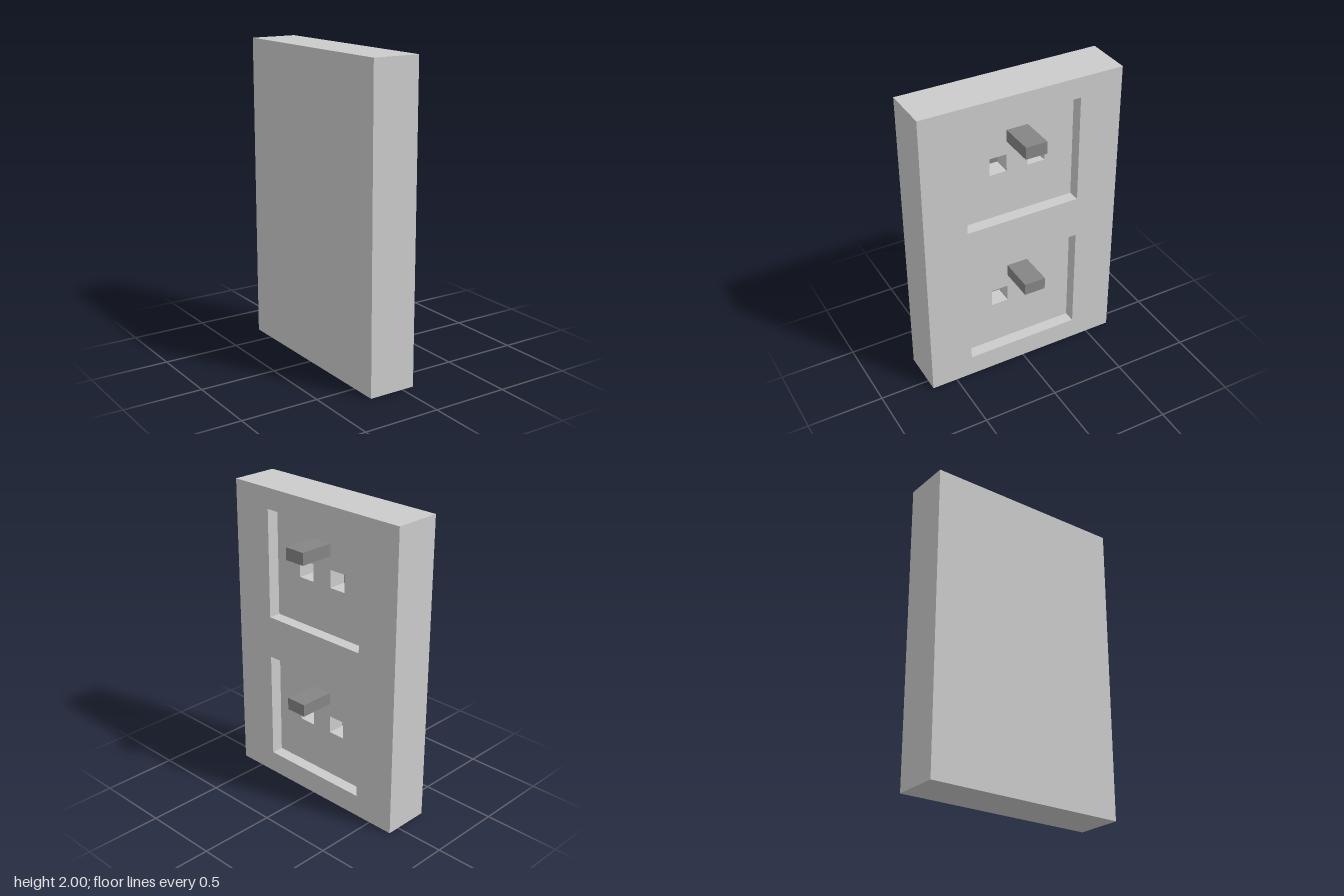
import * as THREE from 'three';
import { mergeGeometries } from 'three/addons/utils/BufferGeometryUtils.js';

const BACK = -0.23, FRONT = 0.08, RECESS = 0, SLOT = -0.12;
const plate = { z: 0, y: 1, w: 1.34, h: 2 };
const outlets = [0, 1].map((dy) => ({
  recess: { z: 0, y: 0.505 + dy, w: 0.77, h: 0.72 },
  slots: [-1, 1].map((s) => ({ z: s * 0.13, y: 0.51 + dy, w: 0.116, h: 0.116 })),
  prong: { z: 0, y: 0.695 + dy, w: 0.142, h: 0.08 },
}));

function outline({ z, y, w, h }, path) {
  path.moveTo(z - w / 2, y - h / 2);
  path.lineTo(z + w / 2, y - h / 2);
  path.lineTo(z + w / 2, y + h / 2);
  path.lineTo(z - w / 2, y + h / 2);
  path.closePath();
  return path;
}

// Flat face at depth x, looking along +x, with rectangular openings
function face(rect, x, openings = []) {
  const shape = outline(rect, new THREE.Shape());
  shape.holes = openings.map((o) => outline(o, new THREE.Path()));
  return new THREE.ShapeGeometry(shape).rotateY(Math.PI / 2).translate(x, 0, 0);
}

function block({ z, y, w, h }, x0, x1) {
  return new THREE.BoxGeometry(x1 - x0, h, w).translate((x0 + x1) / 2, y, z);
}

// Inward-facing side walls of a rectangular pocket
function pocketWalls(rect, x0, x1) {
  const geo = block(rect, x0, x1);
  geo.setIndex(Array.from(geo.index.array).slice(12).reverse());
  geo.computeVertexNormals();
  return geo;
}

export function createModel() {
  const group = new THREE.Group();
  const light = new THREE.MeshStandardMaterial({ color: 0xcccccc, flatShading: true });
  const dark = new THREE.MeshStandardMaterial({ color: 0x858585, flatShading: true });
  const add = (name, geo, material) => {
    const mesh = new THREE.Mesh(geo, material);
    mesh.name = name;
    group.add(mesh);
  };

  // Wall plate: box without its +x side, closed by a face with openings
  const shell = block(plate, BACK, FRONT);
  shell.setIndex(Array.from(shell.index.array).slice(6));
  const parts = [shell, face(plate, FRONT, outlets.map((o) => o.recess))];

  for (const { recess, slots, prong } of outlets) {
    // Recess and its two square slots
    parts.push(pocketWalls(recess, RECESS, FRONT), face(recess, RECESS, slots));
    for (const slot of slots) {
      parts.push(pocketWalls(slot, SLOT, RECESS));
      add('slotFloor', face(slot, SLOT), dark);
    }
    // Protruding prong
    add('prong', block(prong, RECESS, 0.23), dark);
  }
  add('wallPlate', mergeGeometries(parts.map((g) => (g.clearGroups(), g))), light);
  return group;
}
